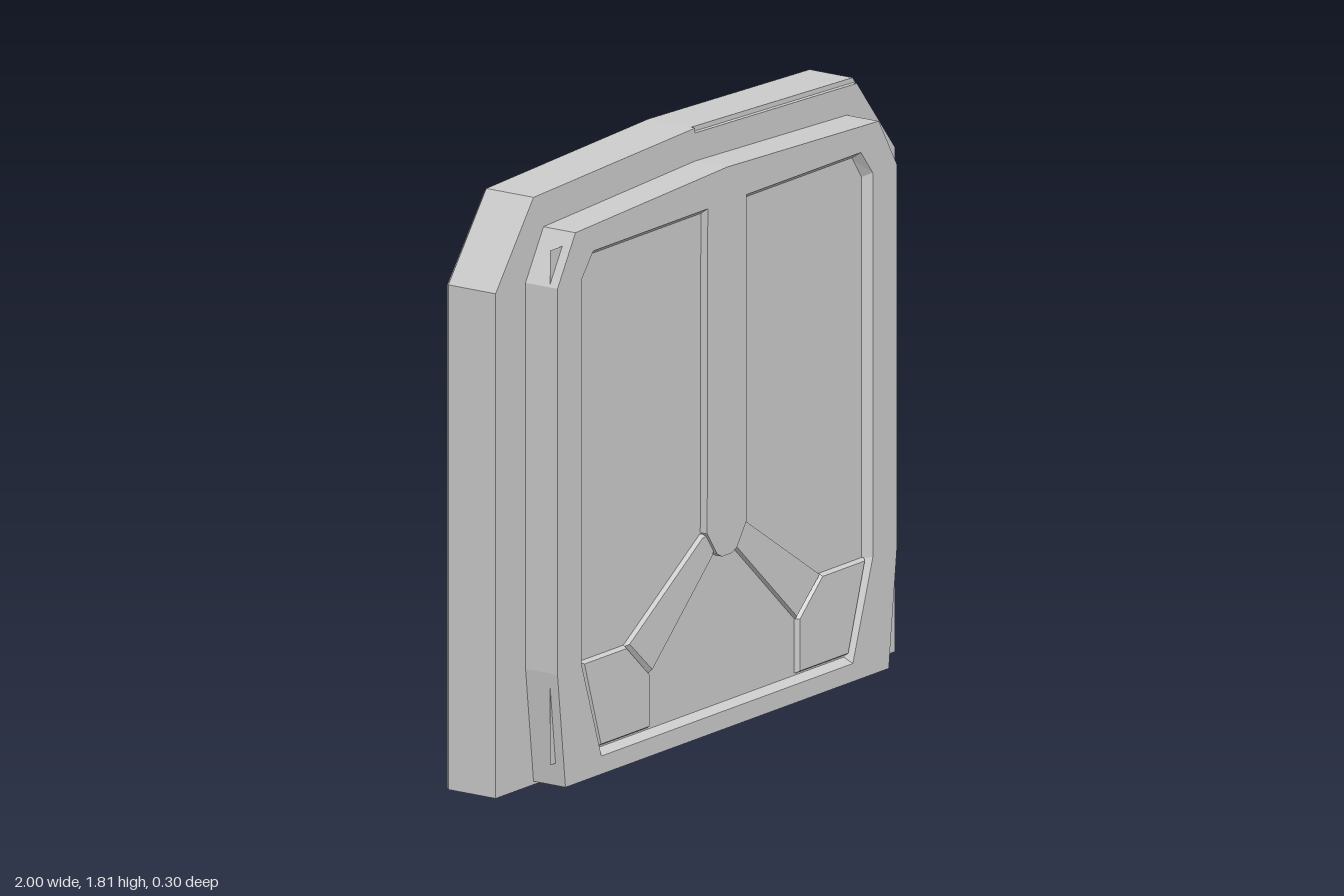
import * as THREE from 'three';

const material = new THREE.MeshStandardMaterial({ color: 0xcccccc, flatShading: true, side: THREE.DoubleSide });

// Right half of an outline (bottom to top), mirrored into a closed counter-clockwise loop
const mirror = (half) => [...half, ...half.filter(p => p[0] !== 0).reverse().map(([x, y]) => [-x, y])];
const at = (pts, z) => pts.map(([x, y]) => [x, y, z]);

// Skin consecutive loops of equal length; either cap the ends or join last to first
function skin(loops, capped = true) {
  const pos = [], n = loops[0].length;
  const tri = (a, b, c) => pos.push(...a, ...b, ...c);
  const last = capped ? loops.length - 1 : loops.length;
  for (let k = 0; k < last; k++) {
    const a = loops[k], b = loops[(k + 1) % loops.length];
    for (let i = 0; i < n; i++) {
      const j = (i + 1) % n;
      tri(a[i], a[j], b[j]);
      tri(a[i], b[j], b[i]);
    }
  }
  if (capped) {
    const back = loops[0], front = loops[loops.length - 1];
    const faces = l => THREE.ShapeUtils.triangulateShape(l.map(p => new THREE.Vector2(p[0], p[1])), []);
    faces(back).forEach(([a, b, c]) => tri(back[a], back[c], back[b]));
    faces(front).forEach(([a, b, c]) => tri(front[a], front[b], front[c]));
  }
  const geo = new THREE.BufferGeometry();
  geo.setAttribute('position', new THREE.Float32BufferAttribute(pos, 3));
  geo.computeVertexNormals();
  return geo;
}

// Shrink an outline slightly about its middle
function shrink(pts, s) {
  const cx = pts.reduce((t, p) => t + p[0], 0) / pts.length;
  const cy = pts.reduce((t, p) => t + p[1], 0) / pts.length;
  return pts.map(([x, y]) => [cx + (x - cx) * s, cy + (y - cy) * s]);
}

export function createModel() {
  const group = new THREE.Group();
  const add = (name, geo) => {
    const mesh = new THREE.Mesh(geo, material);
    mesh.name = name;
    group.add(mesh);
  };

  // Outer arch, open at the bottom, with feet stepping inward
  const outer = mirror([[1, 0], [1, 1.53], [0.81, 1.78], [0, 1.81]]);
  const bevelled = mirror([[0.985, 0], [0.985, 1.525], [0.8, 1.765], [0, 1.795]]);
  const inner = mirror([[0.7, 0], [0.7, 0.08], [0.83, 0.23], [0.83, 1.54], [0.71, 1.63]]).reverse();
  const arch = (o) => [...o, ...inner];
  add('outerFrame', skin([at(arch(bevelled), -0.15), at(arch(outer), -0.135), at(arch(outer), 0.02)]));

  // Front lip of the arch, cut down along one half of the top
  const lip = [[1, 0], [1, 1.53], [0.81, 1.765], [0, 1.795], [0, 1.81], [-0.81, 1.78], [-1, 1.53], [-1, 0]];
  add('frameFrontLip', skin([at(arch(lip), 0.02), at(arch(lip), 0.035)]));

  // Door surround with a bevelled opening on both sides
  const doorEdge = mirror([[0.81, 0.01], [0.85, 0.36], [0.85, 1.53], [0.76, 1.68], [0, 1.71]]);
  const opening = (d) => mirror([[0.63 - d / 2, 0.065 + d * 0.8], [0.73 - d, 0.365],
    [0.73 - d, 1.53 - d / 2], [0.67 - d / 2, 1.605 - d * 0.8], [0, 1.605 - d * 0.8]]);
  add('doorSurround', skin([
    at(doorEdge, 0.035), at(doorEdge, 0.15), at(opening(0), 0.15), at(opening(0.025), 0.122),
    at(opening(0), 0.08), at(opening(-0.025), 0.045),
  ], false));

  // Thin door panel
  add('doorPanel', skin([at(opening(0.02), 0.118), at(opening(0.02), 0.125)]));

  // Central spine with a rounded foot
  const spine = mirror([[0.05, 0.548], [0.1, 0.62], [0.097, 1.61]]);
  spine.push([-0.025, 0.535], [0.025, 0.535]);
  const spineBack = spine.map(([x, y]) => [x * 0.85, y < 1 ? y + 0.015 : y]);
  add('spine', skin([at(spineBack, 0.065), at(spine, 0.08), at(spine, 0.15)]));

  // Diagonal braces and corner plates, mirrored left and right
  const brace = [[0.05, 0.55], [0.37, 0.255], [0.49, 0.362], [0.105, 0.615], [0.04, 0.62]];
  const corner = [[0.37, 0.09], [0.625, 0.09], [0.712, 0.365], [0.49, 0.365], [0.37, 0.255]];
  for (const side of [1, -1]) {
    const flip = pts => side > 0 ? pts : pts.map(([x, y]) => [-x, y]).reverse();
    const suffix = side > 0 ? 'Left' : 'Right';
    for (const [name, pts] of [['brace', brace], ['cornerPlate', corner]]) {
      const full = flip(pts), face = shrink(full, 0.95);
      add(name + suffix, skin([at(face, 0.1), at(full, 0.113), at(full, 0.13), at(face, 0.141)]));
    }
  }

  // Thin hinge strip along one edge
  const strip = new THREE.PlaneGeometry(0.065, 1.56);
  strip.translate(-0.8125, 0.86, 0.12);
  add('hingeStrip', strip);

  // Curved handle on the back of the spine
  const path = new THREE.CatmullRomCurve3([[0.82, 0.075], [0.87, 0.035], [0.95, 0.022], [1.03, 0.035], [1.08, 0.075]]
    .map(([y, z]) => new THREE.Vector3(0, y, z)));
  add('handle', new THREE.TubeGeometry(path, 12, 0.022, 8));

  return group;
}
